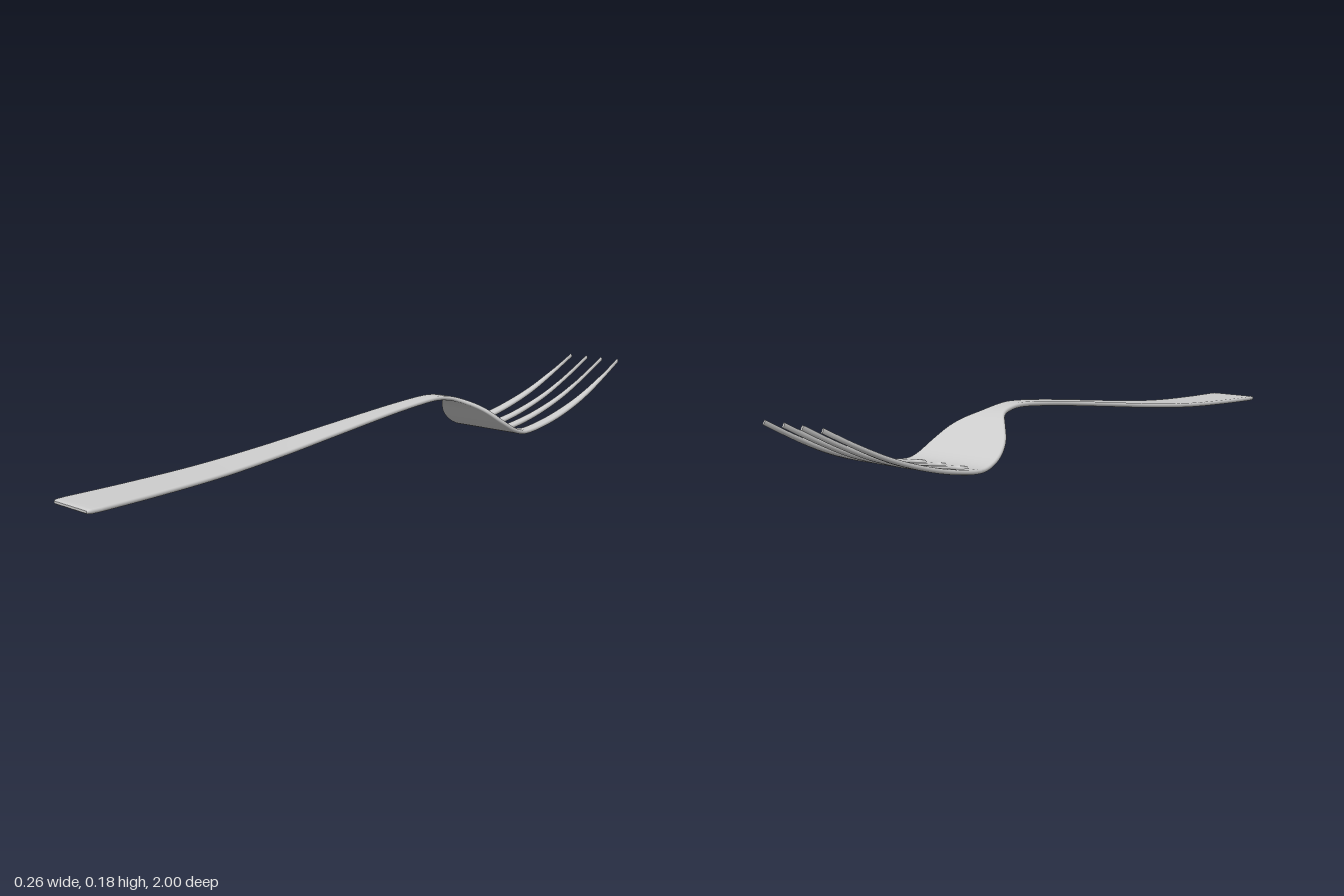
import * as THREE from 'three';

const material = new THREE.MeshStandardMaterial({ color: 0xcccccc, side: THREE.DoubleSide });
const HALF_THICK = 0.0065;
const SLOT_END = -0.5;

// Side profile: z, height of the centre line
const SPINE = [[1, 0.008], [0.8, 0.018], [0.6, 0.032], [0.4, 0.054], [0.2, 0.081], [0, 0.108],
  [-0.1, 0.12], [-0.2, 0.129], [-0.25, 0.127], [-0.3, 0.116], [-0.35, 0.091], [-0.4, 0.05],
  [-0.45, 0.019], [-0.5, 0.0075], [-0.6, 0.021], [-0.7, 0.046], [-0.8, 0.08], [-0.9, 0.125], [-1, 0.176]];

// Plan outline of handle and head: z, half width
const OUTLINE = [[0.965, 0.079], [0.8, 0.073], [0.6, 0.065], [0.4, 0.055], [0.2, 0.045], [0, 0.035],
  [-0.1, 0.031], [-0.2, 0.028], [-0.26, 0.029], [-0.3, 0.04], [-0.34, 0.073], [-0.38, 0.107],
  [-0.42, 0.124], [-0.46, 0.128], [-0.5, 0.128]];

// Outer side of the outer tines
const TINE_SIDE = [[-0.5, 0.128], [-0.6, 0.126], [-0.7, 0.122], [-0.8, 0.115], [-0.9, 0.107], [-1, 0.097]];

// Smooth interpolation through a table with descending z
function smooth(table, z) {
  const n = table.length;
  let i = 0;
  while (i < n - 2 && z < table[i + 1][0]) i++;
  const slope = (k) => {
    const a = table[Math.max(k - 1, 0)], b = table[Math.min(k + 1, n - 1)];
    return (b[1] - a[1]) / (b[0] - a[0]);
  };
  const [z0, v0] = table[i], [z1, v1] = table[i + 1];
  const h = z1 - z0, t = THREE.MathUtils.clamp((z - z0) / h, 0, 1);
  const t2 = t * t, t3 = t2 * t;
  return (2 * t3 - 3 * t2 + 1) * v0 + (t3 - 2 * t2 + t) * h * slope(i)
    + (3 * t2 - 2 * t3) * v1 + (t3 - t2) * h * slope(i + 1);
}

// Sweep a flat bar with rounded edges along the spine; stations: {z, left, right, thick}
function bar(name, stations) {
  const ARC = 6, RING = 2 * (ARC + 1);
  const position = [], index = [];
  for (const { z, left, right, thick = HALF_THICK } of stations) {
    const e = 0.004;
    const zc = THREE.MathUtils.clamp(z, -1 + e, 1 - e);
    const dy = (smooth(SPINE, zc + e) - smooth(SPINE, zc - e)) / (2 * e);
    const len = Math.hypot(1, dy), y = smooth(SPINE, z);
    const rx = Math.min(thick, (right - left) / 2);
    for (let j = 0; j < RING; j++) {
      const onRight = j <= ARC;
      const a = -Math.PI / 2 + Math.PI * (onRight ? j / ARC : 1 + (j - ARC - 1) / ARC);
      const x = (onRight ? right - rx : left + rx) + rx * Math.cos(a);
      const up = thick * Math.sin(a);
      position.push(x, y + up / len, z - up * dy / len);
    }
  }
  for (let i = 0; i < stations.length - 1; i++) {
    for (let j = 0; j < RING; j++) {
      const k = (j + 1) % RING;
      const a = i * RING + j, b = i * RING + k, c = a + RING, d = b + RING;
      index.push(a, c, b, b, c, d);
    }
  }
  // End caps with their own vertices so the rims stay crisp
  for (const [ring, flip] of [[0, false], [stations.length - 1, true]]) {
    const base = position.length / 3;
    position.push(...position.slice(ring * RING * 3, (ring + 1) * RING * 3));
    for (let j = 1; j < RING - 1; j++) {
      index.push(base, base + (flip ? j + 1 : j), base + (flip ? j : j + 1));
    }
  }
  const geometry = new THREE.BufferGeometry();
  geometry.setAttribute('position', new THREE.Float32BufferAttribute(position, 3));
  geometry.setIndex(index);
  geometry.computeVertexNormals();
  const mesh = new THREE.Mesh(geometry, material);
  mesh.name = name;
  return mesh;
}

// Handle, neck and head in one piece, with a softly rounded butt end
function handleAndHead() {
  const stations = [];
  for (const [z, w, thick] of [[1, 0.071, 0.003], [0.997, 0.074, 0.0055], [0.988, 0.0775, 0.0065]]) {
    stations.push({ z, left: -w, right: w, thick });
  }
  const N = 130;
  for (let i = 0; i <= N; i++) {
    const z = THREE.MathUtils.lerp(0.965, SLOT_END, i / N);
    const w = smooth(OUTLINE, z);
    stations.push({ z, left: -w, right: w });
  }
  return bar('handleAndHead', stations);
}

// One tine; its sides open out from the slot centres along a rounded slot end
function tine(name, side, innerSlot, outerSlot, inner, outer) {
  const stations = [], N = 48;
  for (let i = 0; i <= N; i++) {
    const s = (i / N) ** 2;
    const z = THREE.MathUtils.lerp(SLOT_END, -1, s);
    const open = Math.sqrt(1 - (1 - Math.min((SLOT_END - z) / 0.022, 1)) ** 2);
    const a = THREE.MathUtils.lerp(innerSlot, inner(z, s), open);
    const b = outerSlot === null ? outer(z, s) : THREE.MathUtils.lerp(outerSlot, outer(z, s), open);
    stations.push({ z, left: side > 0 ? a : -b, right: side > 0 ? b : -a });
  }
  return bar(name, stations);
}

export function createModel() {
  const group = new THREE.Group();
  group.name = 'fork';
  group.add(handleAndHead());
  for (const [side, label] of [[1, 'left'], [-1, 'right']]) {
    group.add(tine(label + 'OuterTine', side, 0.07, null,
      () => 0.092, (z) => smooth(TINE_SIDE, z)));
    group.add(tine(label + 'InnerTine', side, 0, 0.07,
      (z, s) => 0.017 + 0.01 * s, (z, s) => 0.049 - 0.016 * s));
  }
  return group;
}
